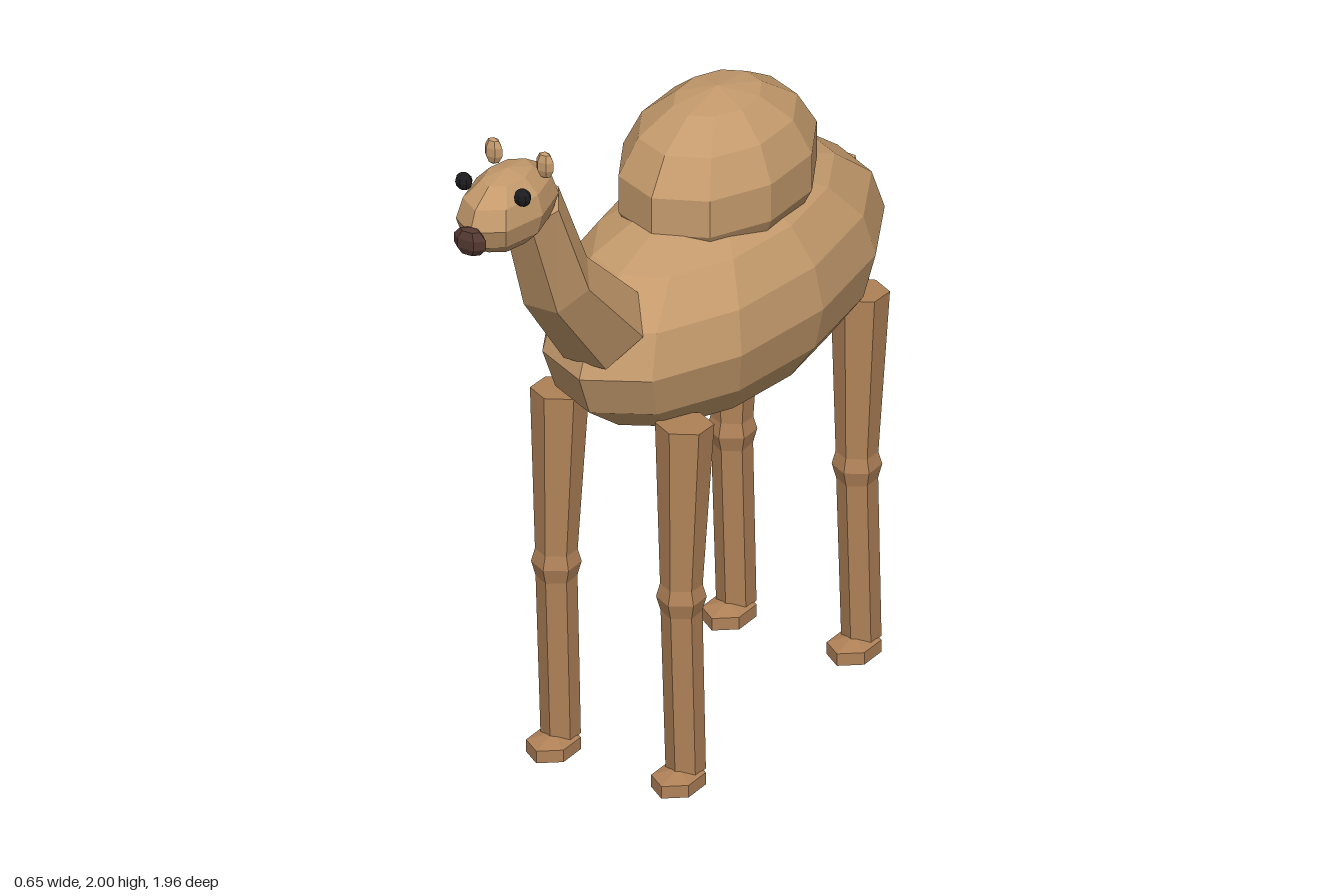
import * as THREE from 'three';

const paint = (color) => new THREE.MeshStandardMaterial({ color, flatShading: true });
const coat = paint(0xc49a6c);
const legCoat = paint(0xb08258);
const dark = paint(0x523830);
const black = paint(0x1c1c1f);

// Low-poly ellipsoid; turn spins the facets about y before scaling
function blob(name, material, [x, y, z], [rx, ry, rz], segments, rings, turn = 0) {
  const geometry = new THREE.SphereGeometry(1, segments, rings).rotateY(turn).scale(rx, ry, rz);
  const mesh = new THREE.Mesh(geometry, material);
  mesh.name = name;
  mesh.position.set(x, y, z);
  return mesh;
}

// Faceted limb swept through [y, z, radius] rings
function limb(name, material, rings, sides, turn = 0) {
  const last = rings.length - 1;
  const geometry = new THREE.CylinderGeometry(1, 1, 1, sides, last, false, turn);
  const pos = geometry.attributes.position;
  for (let i = 0; i < pos.count; i++) {
    const k = Math.round((pos.getY(i) + 0.5) * last);
    const [y, z, r] = rings[k];
    const a = rings[Math.max(k - 1, 0)];
    const b = rings[Math.min(k + 1, last)];
    const length = Math.hypot(b[0] - a[0], b[1] - a[1]);
    const ty = (b[0] - a[0]) / length;
    const tz = (b[1] - a[1]) / length;
    const depth = pos.getZ(i) * r;
    pos.setXYZ(i, pos.getX(i) * r, y - tz * depth, z + ty * depth);
  }
  geometry.computeVertexNormals();
  const mesh = new THREE.Mesh(geometry, material);
  mesh.name = name;
  return mesh;
}

// Leg with a knobbly knee and a flat foot
function leg(name, x, z) {
  const group = new THREE.Group();
  group.name = name;
  const shaft = [
    [0.05, 0.217, 0.051], [0.51, 0.237, 0.053], [0.55, 0.238, 0.064],
    [0.585, 0.238, 0.054], [1.035, 0.222, 0.075],
  ];
  group.add(
    limb('shaft', legCoat, shaft, 6),
    blob('foot', legCoat, [0, 0.034, 0.252], [0.074, 0.034, 0.096], 6, 3, Math.PI / 2),
  );
  group.position.set(x, 0, z);
  return group;
}

export function createModel() {
  const model = new THREE.Group();
  model.name = 'camel';

  // Body and hump
  model.add(
    blob('body', coat, [0, 1.2, -0.22], [0.325, 0.3, 0.65], 12, 8),
    blob('hump', coat, [0, 1.51, -0.24], [0.236, 0.232, 0.328], 10, 7, Math.PI / 2),
  );

  // Neck and head
  model.add(
    limb('neck', coat, [[1.31, 0.325, 0.125], [1.535, 0.545, 0.1], [1.81, 0.665, 0.083]], 6, Math.PI / 2),
    blob('head', coat, [0, 1.852, 0.778], [0.105, 0.108, 0.18], 8, 6),
    blob('nose', dark, [0, 1.83, 0.958], [0.05, 0.04, 0.028], 6, 5),
  );
  for (const [side, s] of [['left', 1], ['right', -1]]) {
    model.add(
      blob(side + 'Eye', black, [s * 0.087, 1.928, 0.846], [0.024, 0.024, 0.02], 8, 6),
      blob(side + 'Ear', coat, [s * 0.076, 1.962, 0.72], [0.027, 0.038, 0.018], 6, 5),
      leg(side + 'FrontLeg', s * 0.185, 0),
      leg(side + 'BackLeg', s * 0.185, -0.85),
    );
  }

  // Tail with tuft
  model.add(
    limb('tail', coat, [[0.85, -0.938, 0.019], [1.04, -0.936, 0.021], [1.255, -0.865, 0.024]], 5),
    blob('tailTuft', dark, [0, 0.817, -0.938], [0.036, 0.057, 0.042], 6, 5, Math.PI / 2),
  );
  return model;
}
